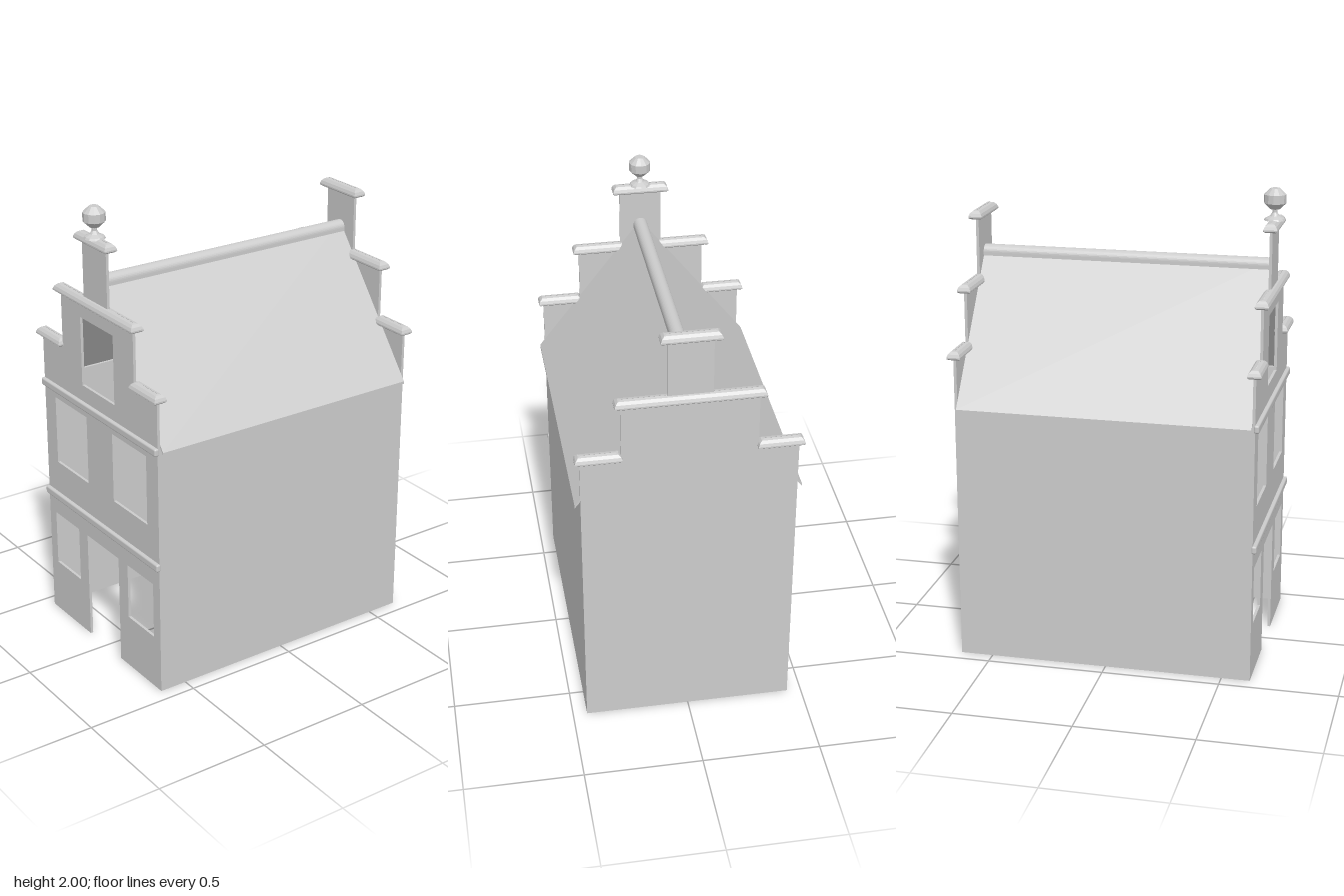
import * as THREE from 'three';
import { RoundedBoxGeometry } from 'three/addons/geometries/RoundedBoxGeometry.js';

const grey = new THREE.MeshStandardMaterial({ color: 0xcccccc, side: THREE.DoubleSide });
const facet = new THREE.MeshStandardMaterial({ color: 0xcccccc, side: THREE.DoubleSide, flatShading: true });

const FRONT = 0.615, BACK = -0.632, WALL = 0.012;

function add(parent, name, geometry, material, x = 0, y = 0, z = 0) {
  const mesh = new THREE.Mesh(geometry, material);
  mesh.name = name;
  mesh.position.set(x, y, z);
  parent.add(mesh);
  return mesh;
}

// Closed polygon from a list of points
const points = (list) => list.map(([x, y]) => new THREE.Vector2(x, y));

// Stepped gable outline, mirrored about x = 0; the doorway notches the bottom edge
function gableShape(withDoor) {
  const half = [[0.44, 0], [0.44, 1.33], [0.275, 1.33], [0.275, 1.575], [0.09, 1.575], [0.09, 1.845]];
  const door = withDoor ? [[-0.125, 0], [-0.125, 0.488], [0.125, 0.488], [0.125, 0]] : [];
  const mirrored = half.map(([x, y]) => [-x, y]).reverse();
  return new THREE.Shape(points([...half, ...mirrored, ...door]));
}

// Coping stone: a moulded profile run round a rectangle from x0 to x1
function copingGeometry(x0, x1) {
  const profile = [[0.0005, 0], [0.022, 0], [0.029, 0.006], [0.029, 0.012], [0.024, 0.024], [0.014, 0.034], [0.0005, 0.037]];
  const g = new THREE.LatheGeometry(points(profile.map(([r, y]) => [r * Math.SQRT2, y])), 4, Math.PI / 4);
  const stretch = (x1 - x0) / 2 - 0.029, p = g.attributes.position;
  for (let i = 0; i < p.count; i++) p.setX(i, p.getX(i) + Math.sign(p.getX(i)) * stretch);
  g.translate((x0 + x1) / 2, 0, 0);
  g.computeVertexNormals();
  return g;
}

function gable(name, z, openings) {
  const group = new THREE.Group();
  group.name = name;
  const shape = gableShape(openings.length > 0);
  for (const [x0, x1, y0, y1] of openings) {
    shape.holes.push(new THREE.Path(points([[x0, y0], [x0, y1], [x1, y1], [x1, y0]])));
  }
  const wall = new THREE.ExtrudeGeometry(shape, { depth: WALL, bevelEnabled: false });
  add(group, name + 'Wall', wall, grey, 0, 0, -WALL / 2);
  // Copings on every step
  const steps = [[-0.12, 0.12, 1.836], [-0.3, 0.3, 1.56], [-0.46, -0.27, 1.316], [0.27, 0.46, 1.316]];
  for (const [x0, x1, y] of steps) add(group, 'coping', copingGeometry(x0, x1), facet, 0, y, 0);
  group.position.z = z;
  return group;
}

export function createModel() {
  const house = new THREE.Group();
  house.name = 'gabledHouse';

  // Front gable with window openings, plain back gable
  house.add(gable('frontGable', FRONT, [
    [-0.125, 0.125, 1.193, 1.495],
    [-0.355, -0.1, 0.748, 1.055], [0.1, 0.355, 0.748, 1.055],
    [-0.39, -0.195, 0.239, 0.488], [0.195, 0.39, 0.239, 0.488],
  ]));
  house.add(gable('backGable', BACK, []));

  // Side walls; the house is open underneath
  const length = FRONT - BACK, middle = (FRONT + BACK) / 2;
  for (const side of [-1, 1]) {
    add(house, side > 0 ? 'leftWall' : 'rightWall',
      new THREE.BoxGeometry(WALL, 1.12, length - WALL), grey, side * (0.44 - WALL / 2), 0.56, middle);
  }

  // Pitched roof sheet with small eaves
  const roofShape = new THREE.Shape(points([
    [0.462, 1.095], [0.462, 1.107], [0, 1.7], [-0.462, 1.107], [-0.462, 1.095], [0, 1.685],
  ]));
  const roof = new THREE.ExtrudeGeometry(roofShape, { depth: length - WALL, bevelEnabled: false });
  add(house, 'roof', roof, grey, 0, 0, BACK + WALL / 2);

  // Rounded ridge cap
  const capShape = new THREE.Shape();
  capShape.moveTo(0.03, 1.665);
  capShape.lineTo(0.03, 1.68);
  capShape.absarc(0, 1.68, 0.03, 0, Math.PI, false);
  capShape.lineTo(-0.03, 1.665);
  const cap = new THREE.ExtrudeGeometry(capShape, { depth: length - WALL, bevelEnabled: false, curveSegments: 8 });
  add(house, 'ridgeCap', cap, grey, 0, 0, BACK + WALL / 2);

  // String courses across the front
  for (const y of [0.586, 1.104]) {
    add(house, 'stringCourse', new RoundedBoxGeometry(0.89, 0.034, 0.022, 2, 0.008), grey, 0, y, FRONT + 0.011);
  }

  // Ball finial on a flared foot
  const finial = [[0.045, 1.868], [0.04, 1.876], [0.02, 1.886], [0.011, 1.9], [0.011, 1.913], [0.02, 1.914],
    [0.046, 1.939], [0.046, 1.975], [0.02, 2], [0, 2]];
  add(house, 'ballFinial', new THREE.LatheGeometry(points(finial), 12), facet, 0, 0, FRONT);

  return house;
}
